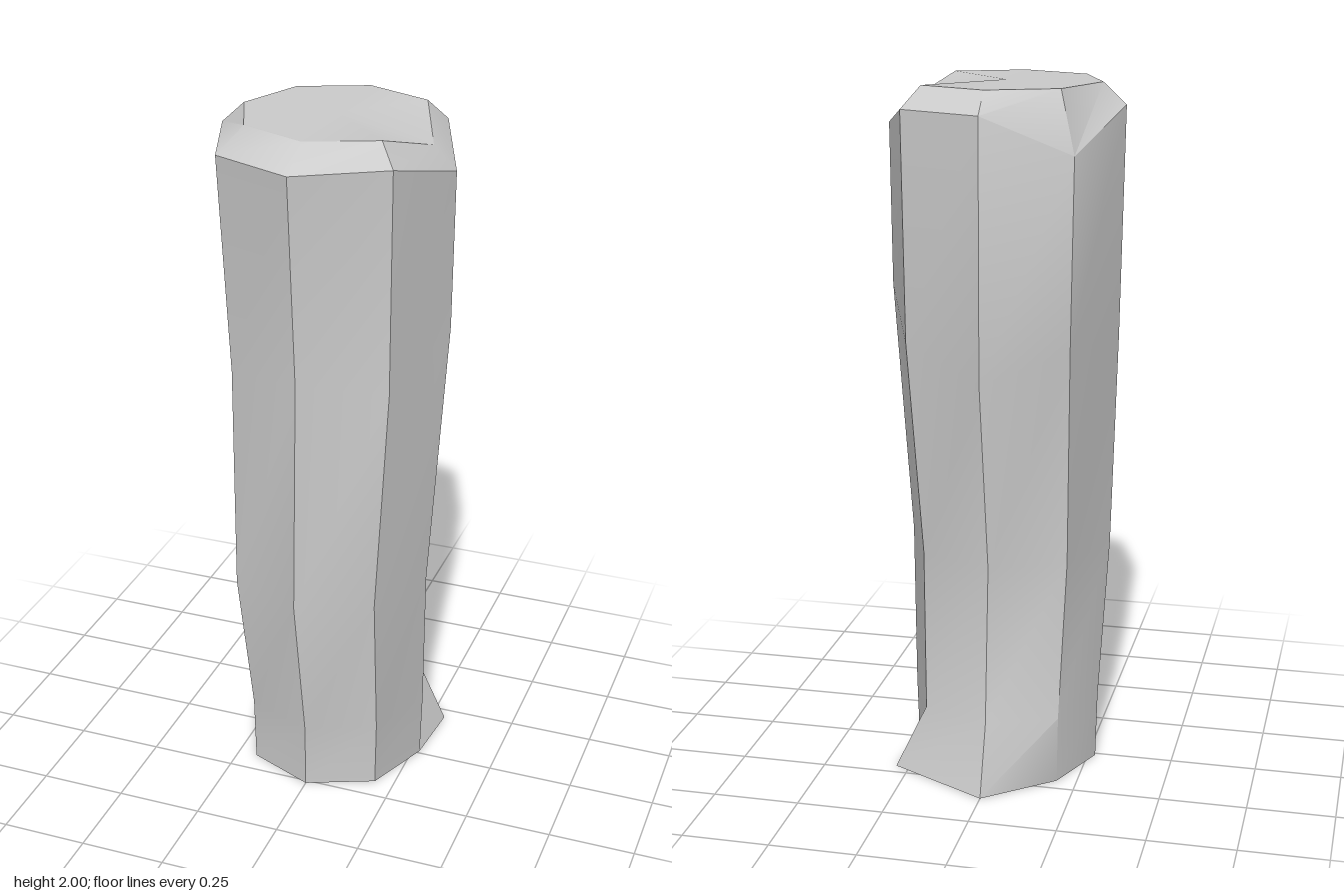
import * as THREE from 'three';
import { toCreasedNormals } from 'three/addons/utils/BufferGeometryUtils.js';

const SIDES = 8;

// Octagonal cross-section, corners counted from the front (+z) round by +x.
// "moved" replaces single corners that are knocked out of the regular shape.
function ring(y, radius, centerZ, moved = {}) {
  return Array.from({ length: SIDES }, (_, i) => {
    const a = (i / SIDES) * Math.PI * 2;
    return moved[i] ?? [Math.sin(a) * radius, y, centerZ + Math.cos(a) * radius];
  });
}

// Joins the rings from bottom to top and closes both ends with a fan
function loft(rings, bottomCenter, topCenter) {
  const pos = [];
  const tri = (...corners) => corners.forEach((c) => pos.push(...c));
  for (let i = 0; i < SIDES; i++) {
    const n = (i + 1) % SIDES;
    for (let j = 0; j < rings.length - 1; j++) {
      const low = rings[j], high = rings[j + 1];
      tri(low[i], low[n], high[n]);
      tri(low[i], high[n], high[i]);
    }
    const top = rings[rings.length - 1];
    tri(bottomCenter, rings[0][n], rings[0][i]);
    tri(topCenter, top[i], top[n]);
  }
  const geometry = new THREE.BufferGeometry();
  geometry.setAttribute('position', new THREE.Float32BufferAttribute(pos, 3));
  return toCreasedNormals(geometry, THREE.MathUtils.degToRad(30));
}

export function createModel() {
  const group = new THREE.Group();
  group.name = 'woodenPost';

  const rings = [
    // foot, flared at the back
    ring(0, 0.272, -0.01, { 3: [0.29, 0, -0.21], 4: [0, 0, -0.36] }),
    ring(0.2, 0.277, -0.012),
    // bow forward
    ring(0.66, 0.297, 0.047),
    // bow backward, its bend running slightly askew
    ring(1.3, 0.325, -0.022, {
      0: [0, 1.34, 0.315],
      2: [0.325, 1.42, -0.035],
      4: [0, 1.22, -0.35],
    }),
    // rim with two chipped corners
    ring(1.94, 0.335, -0.015, {
      0: [0, 1.94, 0.36],
      2: [0.335, 1.875, -0.015],
      4: [0, 1.94, -0.348],
      5: [-0.237, 1.83, -0.253],
      7: [-0.237, 1.94, 0.262],
    }),
    // bevelled top edge
    ring(2, 0.27, -0.015, { 2: [0.27, 1.94, -0.015] }),
  ];

  const post = new THREE.Mesh(
    loft(rings, [0, 0, -0.02], [0, 2, -0.015]),
    new THREE.MeshStandardMaterial({ color: 0xcccccc })
  );
  post.name = 'post';
  group.add(post);
  return group;
}
